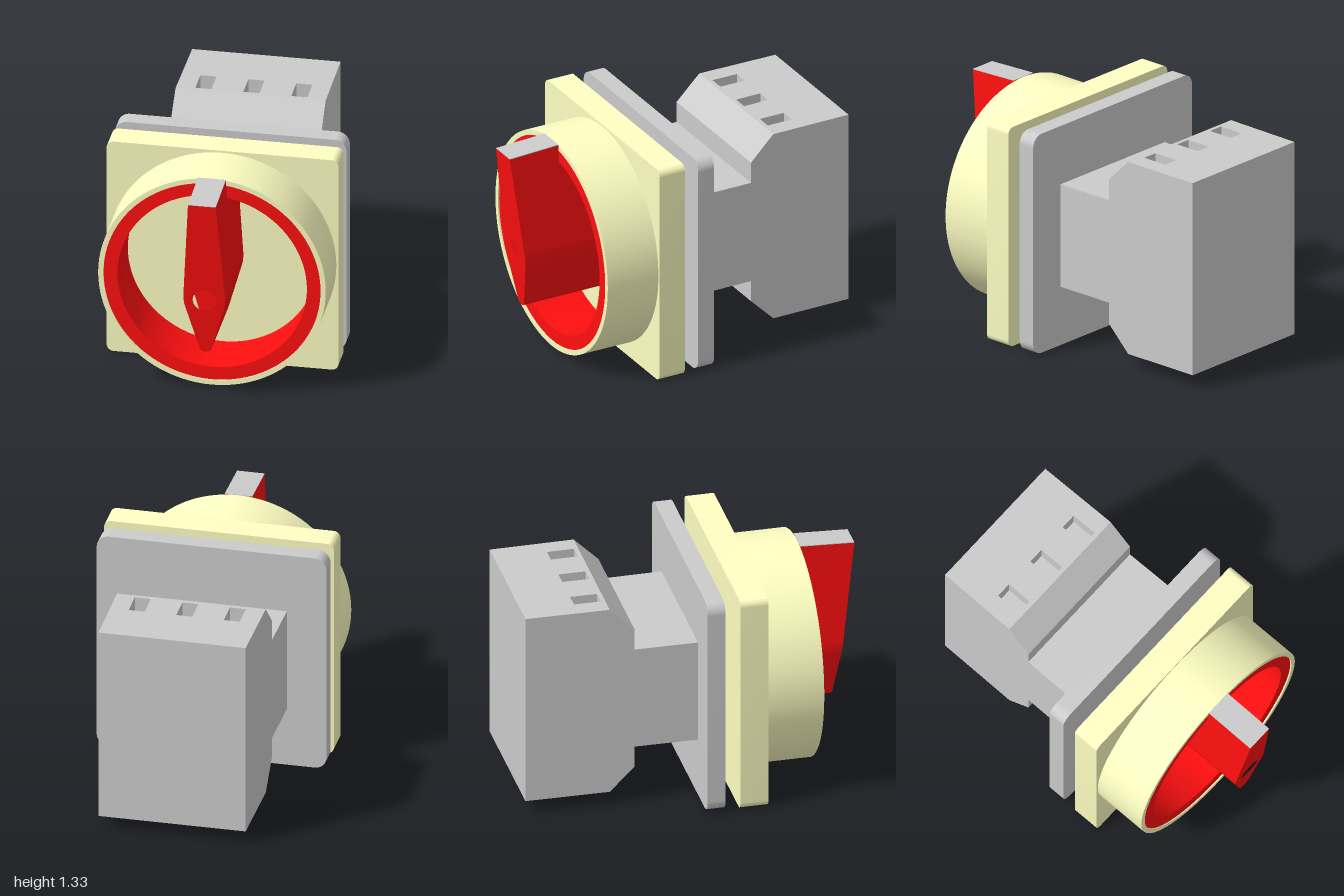
import * as THREE from 'three';
import { toCreasedNormals } from 'three/addons/utils/BufferGeometryUtils.js';

const CY = 0.67; // height of the switch axis

const grey = new THREE.MeshStandardMaterial({ color: 0xcccccc });
const cream = new THREE.MeshStandardMaterial({ color: 0xffffc3 });
const red = new THREE.MeshStandardMaterial({ color: 0xff0f0f });

function extrude(shape, depth) {
  return new THREE.ExtrudeGeometry(shape, { depth, bevelEnabled: false, curveSegments: 16 });
}

// moves every vertex by a rule
function reshape(geo, rule) {
  const p = geo.attributes.position;
  const v = new THREE.Vector3();
  for (let i = 0; i < p.count; i++) {
    rule(v.fromBufferAttribute(p, i));
    p.setXYZ(i, v.x, v.y, v.z);
  }
  geo.computeVertexNormals();
  return geo;
}

// square plate with rounded corners, facing +z
function plate(half, r, z0, z1) {
  const s = new THREE.Shape();
  const c = half - r;
  [[c, c], [-c, c], [-c, -c], [c, -c]].forEach(([x, y], i) =>
    s.absarc(x, y, r, i * Math.PI / 2, (i + 1) * Math.PI / 2, false));
  return extrude(s, z1 - z0).translate(0, CY, z0);
}

// profile of [radius, z] turned about the switch axis
function turned(points) {
  return new THREE.LatheGeometry(points.map(p => new THREE.Vector2(...p)), 96)
    .rotateX(Math.PI / 2).translate(0, CY, 0);
}

// grip outline with the spindle hole, cut off at the given height
function gripGeometry(topY, z0, z1, slanted) {
  const w = 0.12 - 0.04 * (topY - 0.7) / 0.62;
  const s = new THREE.Shape();
  s.moveTo(w, topY);
  s.lineTo(0.119, 0.71);
  s.quadraticCurveTo(0.122, 0.675, 0.115, 0.635);
  s.lineTo(0.036, 0.352);
  s.quadraticCurveTo(0.028, 0.325, 0, 0.325);
  s.quadraticCurveTo(-0.028, 0.325, -0.036, 0.352);
  s.lineTo(-0.115, 0.635);
  s.quadraticCurveTo(-0.122, 0.675, -0.119, 0.71);
  s.lineTo(-w, topY);
  s.closePath();
  const hole = new THREE.Path();
  hole.absarc(0, CY, 0.067, 0, Math.PI * 2, true);
  s.holes.push(hole);
  const geo = extrude(s, z1 - z0).translate(0, 0, z0);
  if (!slanted) return geo;
  // the front leans forward towards the top, the top drops towards the front
  return reshape(geo, v => {
    if (v.z < (z0 + z1) / 2) return;
    if (v.y > 1.3) v.y = 1.31;
    v.z = 0.88 + 0.122 * (v.y - 0.325);
  });
}

export function createModel() {
  const group = new THREE.Group();
  const add = (parent, name, geo, mat, crease = 0.5) => {
    const mesh = new THREE.Mesh(toCreasedNormals(geo, crease), mat);
    mesh.name = name;
    parent.add(mesh);
    return mesh;
  };

  // mounting plates and the neck between them
  add(group, 'frontPlate', plate(0.667, 0.04, 0.193, 0.357), cream);
  add(group, 'rearPlate', plate(0.667, 0.07, 0.003, 0.107), grey);
  add(group, 'shaft', turned([[0.205, 0.1], [0.205, 0.2]]), grey);

  // collar around the dial
  add(group, 'collar',
    turned([[0.655, 0.35], [0.655, 0.685], [0.625, 0.685], [0.625, 0.66]]), cream);

  // recessed dial
  add(group, 'dial',
    turned([[0.626, 0.677], [0.545, 0.677], [0.545, 0.355], [0, 0.355]]), red);

  // grip: lower half sits in the recess, upper half passes over the collar
  const grip = new THREE.Group();
  grip.name = 'grip';
  group.add(grip);
  add(grip, 'gripBase', gripGeometry(1.213, 0.353, 0.685, false), red);
  add(grip, 'gripBlade', gripGeometry(1.324, 0.685, 1, true), red);
  const cap = add(grip, 'gripPointer', new THREE.BoxGeometry(0.16, 0.004, 0.315), grey);
  cap.position.set(0, 1.318, 0.8425);
  cap.rotation.x = Math.atan(0.014 / 0.315);
  add(grip, 'spindle', turned([[0.075, 0.3], [0.075, 0.37], [0, 0.37]]), grey);

  // switch body: side profile [z, height from axis], mirrored below the axis
  const body = new THREE.Group();
  body.name = 'switchBody';
  group.add(body);
  const taper = v => { v.x *= 1 + 0.023 * v.z; };
  const HALF = 0.437, TOP = 0.585, LID = 0.1;
  const upper = [[0.005, 0.312], [-0.365, 0.312], [-0.365, 0.44], [-0.51, TOP],
    [-0.51, TOP - LID], [-1, TOP - LID]];
  const lower = upper.map(([z, y]) => [z, -y]).reverse();
  const profile = new THREE.Shape([...upper, ...lower].map(p => new THREE.Vector2(...p)));
  const core = extrude(profile, HALF * 2).rotateY(-Math.PI / 2).translate(HALF, CY, 0);
  add(body, 'bodyCore', reshape(core, taper), grey, 0.1);

  // terminal covers with three pockets, above and below
  const rect = (x0, x1, z0, z1, Type) => new Type([[x0, z0], [x1, z0], [x1, z1], [x0, z1]]
    .map(p => new THREE.Vector2(...p)));
  for (const [name, y] of [['upperTerminals', CY + TOP], ['lowerTerminals', CY - TOP + LID]]) {
    const cover = rect(-HALF, HALF, -1, -0.51, THREE.Shape);
    for (const x of [-0.28, 0, 0.28])
      cover.holes.push(rect(x - 0.047, x + 0.047, -0.692, -0.535, THREE.Path));
    const geo = extrude(cover, LID).rotateX(Math.PI / 2).translate(0, y, 0);
    add(body, name, reshape(geo, taper), grey, 0.1);
  }
  return group;
}
